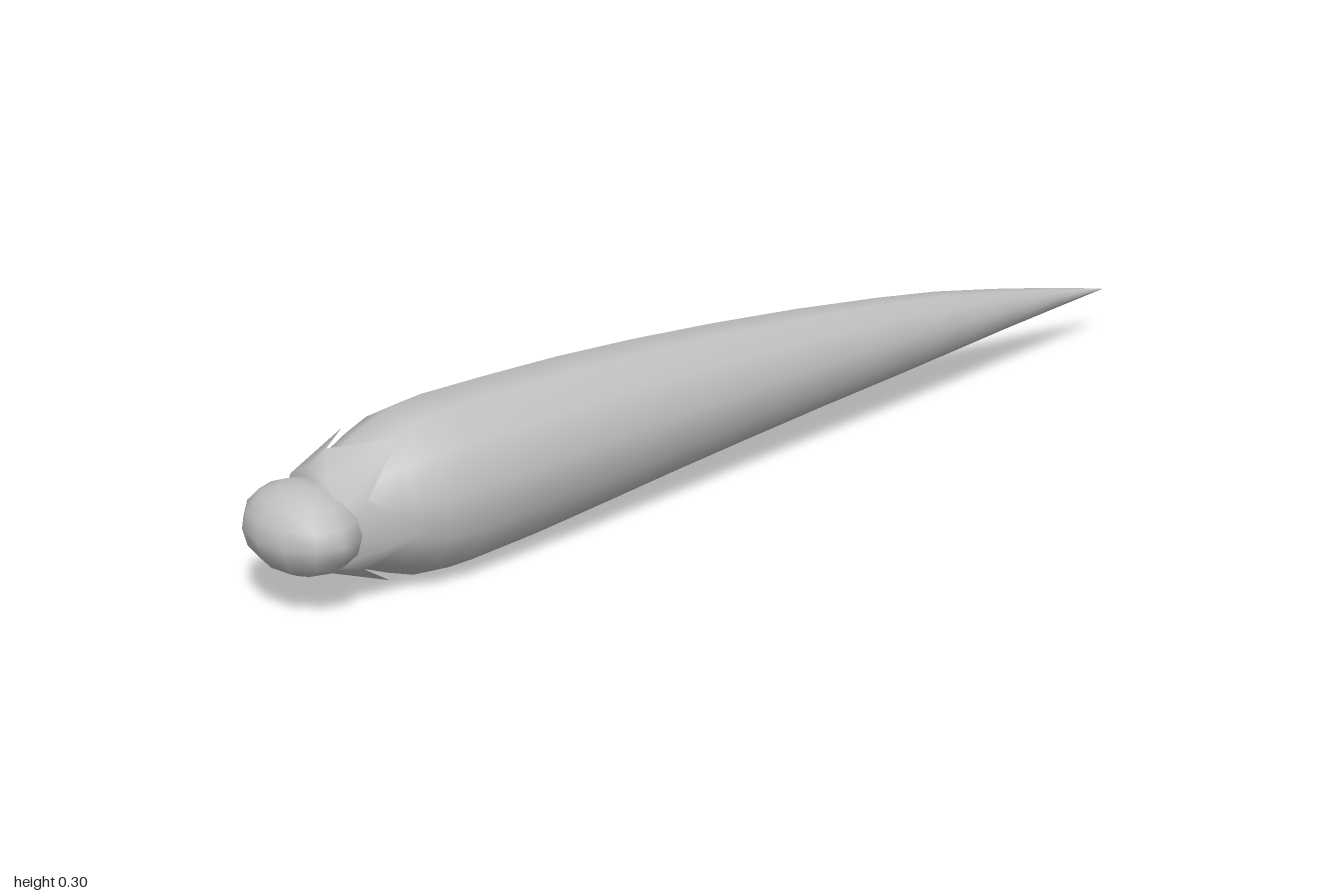
import * as THREE from 'three';

// Closed skin through rings; ring(i, angle) gives a point, running along +x
function skin(rings, sides, point) {
  const pos = [], index = [];
  for (let i = 0; i < rings; i++)
    for (let j = 0; j < sides; j++) pos.push(...point(i, j));
  for (let i = 0; i < rings - 1; i++)
    for (let j = 0; j < sides; j++) {
      const a = i * sides + j, b = i * sides + (j + 1) % sides;
      index.push(a, a + sides, b + sides, a, b + sides, b);
    }
  const geo = new THREE.BufferGeometry();
  geo.setAttribute('position', new THREE.Float32BufferAttribute(pos, 3));
  geo.setIndex(index);
  geo.computeVertexNormals();
  return geo;
}

export function createModel() {
  const group = new THREE.Group();
  const grey = new THREE.MeshStandardMaterial({ color: 0xc0c0c0 });
  const greyLeaf = new THREE.MeshStandardMaterial({ color: 0xc0c0c0, side: THREE.DoubleSide });
  greyLeaf.name = 'grey leaf';
  grey.name = 'grey';
  const add = (name, geo, mat) => {
    const mesh = new THREE.Mesh(geo, mat);
    mesh.name = name;
    group.add(mesh);
    return mesh;
  };

  // Long tapering body: x, top y, bottom y
  const profile = [
    [-0.88, 0.151, 0.149], [-0.878, 0.225, 0.075], [-0.8, 0.263, 0.043], [-0.76, 0.28, 0.026],
    [-0.71, 0.297, 0.008], [-0.64, 0.304, 0.001], [-0.5, 0.302, 0.008], [-0.35, 0.298, 0.02],
    [-0.18, 0.288, 0.034], [0, 0.273, 0.047], [0.2, 0.252, 0.06], [0.4, 0.226, 0.071],
    [0.55, 0.203, 0.08], [0.7, 0.173, 0.089], [0.85, 0.14, 0.096], [1, 0.1035, 0.1025],
  ];
  add('body', skin(profile.length, 12, (i, j) => {
    const [x, top, bottom] = profile[i];
    const a = (j * 30 + 12) * Math.PI / 180, r = (top - bottom) / 2;
    const shift = -0.012 * Math.max(0, (x + 0.64) / 1.64);
    return [x, (top + bottom) / 2 + r * Math.sin(a), shift + 0.93 * r * Math.cos(a)];
  }), grey);

  // Collar with five points lying back over the body
  add('collar', skin(3, 10, (i, j) => {
    const a = (j * 36 - 8) * Math.PI / 180, tip = j % 2 === 0;
    const x = i < 2 ? -0.885 : tip ? -0.755 : -0.842;
    const r = [0.001, 0.09, tip ? 0.141 : 0.11][i];
    return [x, 0.152 + r * Math.sin(a), 0.96 * r * Math.cos(a)];
  }), greyLeaf);

  // Flattened round head
  const head = add('head', new THREE.SphereGeometry(1, 12, 8), grey);
  head.scale.set(0.09, 0.077, 0.118);
  head.position.set(-0.91, 0.147, 0.002);

  return group;
}
